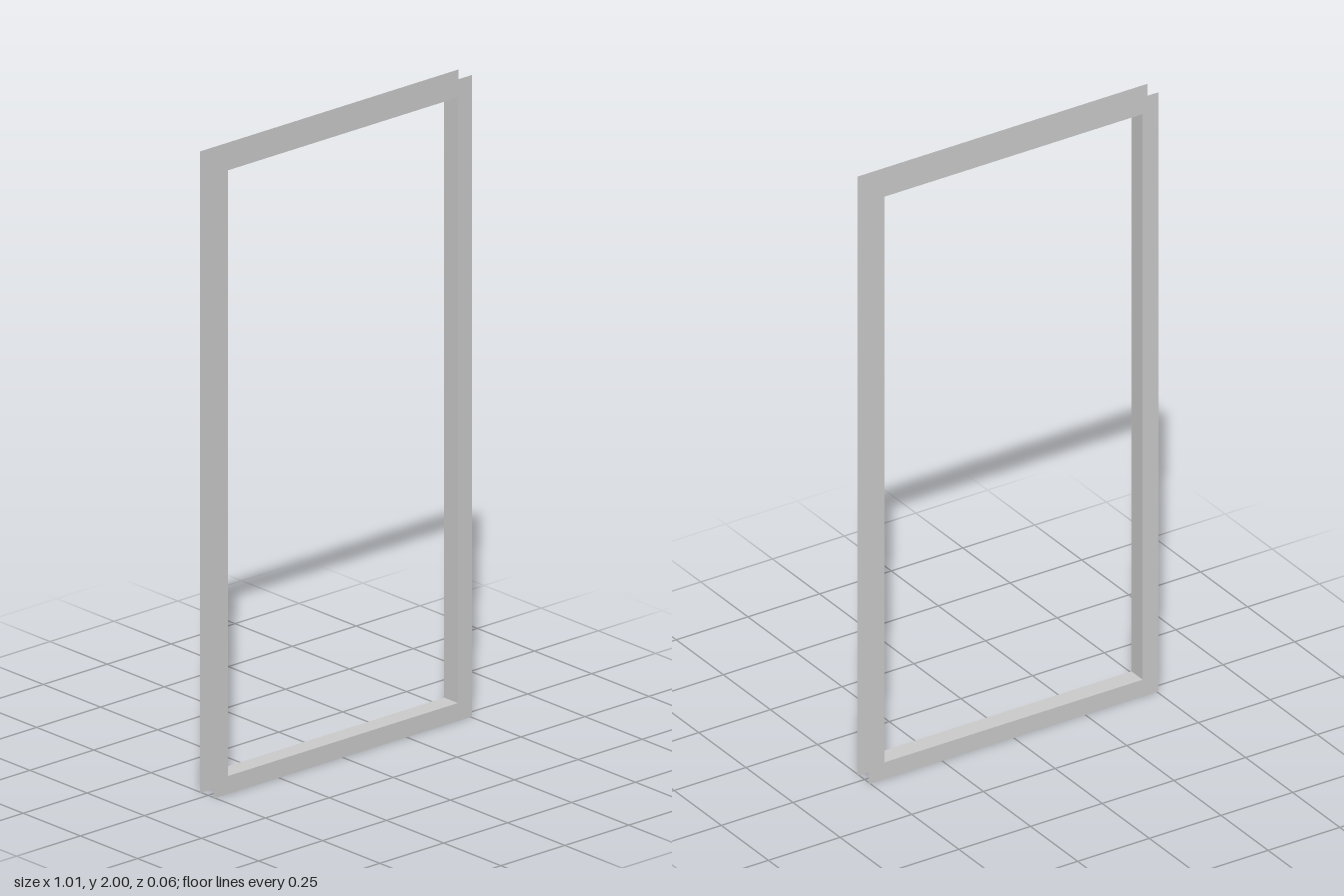
import * as THREE from 'three';

const W = 0.506, H = 2, BORDER = 0.056, DEPTH = 0.06;

export function createModel() {
  const group = new THREE.Group();
  group.name = 'openingFrame';
  const material = new THREE.MeshStandardMaterial({ color: 0xcccccc, flatShading: true, side: THREE.DoubleSide });
  const innerW = W - BORDER, innerH = H - 2 * BORDER;

  const add = (name, geometry, x, y, z, rx = 0, ry = 0) => {
    const mesh = new THREE.Mesh(geometry, material);
    mesh.name = name;
    mesh.position.set(x, y, z);
    mesh.rotation.set(rx, ry, 0);
    group.add(mesh);
  };

  // Flat trim: a thin rectangular sheet around the opening
  const rect = (path, w, y0, y1) =>
    path.moveTo(-w, y0).lineTo(w, y0).lineTo(w, y1).lineTo(-w, y1).closePath();
  const outline = rect(new THREE.Shape(), W, 0, H);
  outline.holes.push(rect(new THREE.Path(), innerW, BORDER, H - BORDER));
  const trim = new THREE.ShapeGeometry(outline);
  add('frontTrim', trim, 0, 0, DEPTH / 2);
  add('backTrim', trim.clone().rotateY(Math.PI), 0, 0, -DEPTH / 2);

  // Lining of the opening, joining the two trims; the outer edge stays open
  const jamb = new THREE.PlaneGeometry(DEPTH, innerH);
  add('leftJamb', jamb, innerW, H / 2, 0, 0, -Math.PI / 2);
  add('rightJamb', jamb, -innerW, H / 2, 0, 0, Math.PI / 2);
  const rail = new THREE.PlaneGeometry(2 * innerW, DEPTH);
  add('sill', rail, 0, BORDER, 0, -Math.PI / 2);
  add('head', rail, 0, H - BORDER, 0, Math.PI / 2);

  return group;
}
